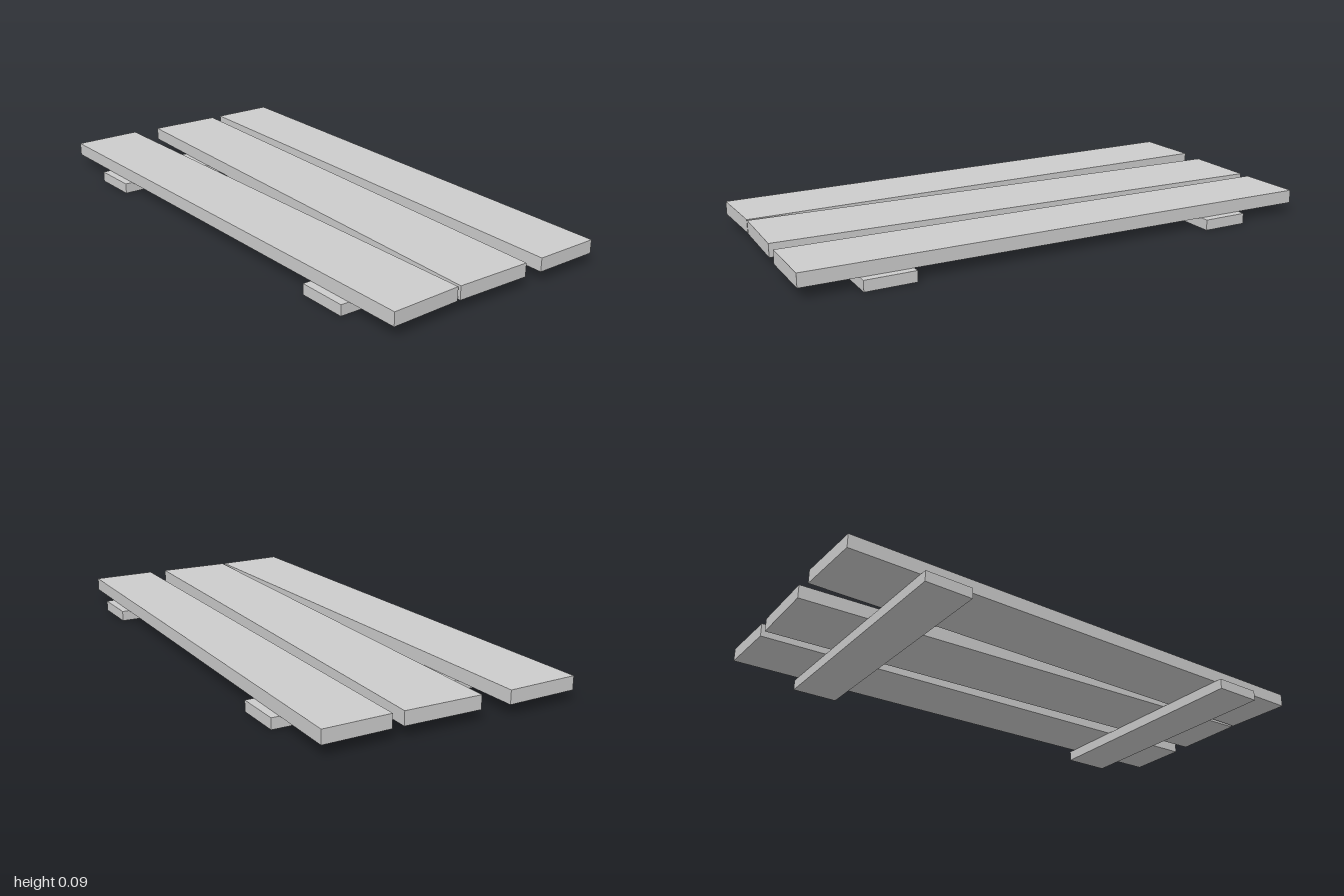
import * as THREE from 'three';

const material = new THREE.MeshStandardMaterial({ color: 0xcccccc, flatShading: true });

// A flat board: plan corners as [x, z], raised from y0 to y1
function board(name, corners, y0, y1) {
  const shape = new THREE.Shape(corners.map(([x, z]) => new THREE.Vector2(x, -z)));
  const geometry = new THREE.ExtrudeGeometry(shape, { depth: y1 - y0, bevelEnabled: false });
  geometry.rotateX(-Math.PI / 2);
  geometry.translate(0, y0, 0);
  const mesh = new THREE.Mesh(geometry, material);
  mesh.name = name;
  return mesh;
}

export function createModel() {
  const group = new THREE.Group();
  group.name = 'plankPanel';
  const battenTop = 0.04, plankTop = 0.09;

  // Long planks, slightly crooked
  const planks = {
    rightPlank: [[-0.497, -0.99], [-0.23, -1], [-0.133, 0.986], [-0.4, 1]],
    middlePlank: [[-0.123, -0.99], [0.165, -0.99], [0.165, 0.987], [-0.123, 0.987]],
    leftPlank: [[0.207, -0.99], [0.455, -0.997], [0.483, 0.985], [0.234, 0.99]],
  };
  for (const [name, corners] of Object.entries(planks)) group.add(board(name, corners, battenTop, plankTop));

  // Cross battens underneath
  const battens = {
    backBatten: [[-0.515, -0.728], [0.488, -0.742], [0.494, -0.566], [-0.504, -0.546]],
    frontBatten: [[-0.45, 0.607], [0.505, 0.595], [0.511, 0.781], [-0.441, 0.796]],
  };
  for (const [name, corners] of Object.entries(battens)) group.add(board(name, corners, 0, battenTop));

  return group;
}
